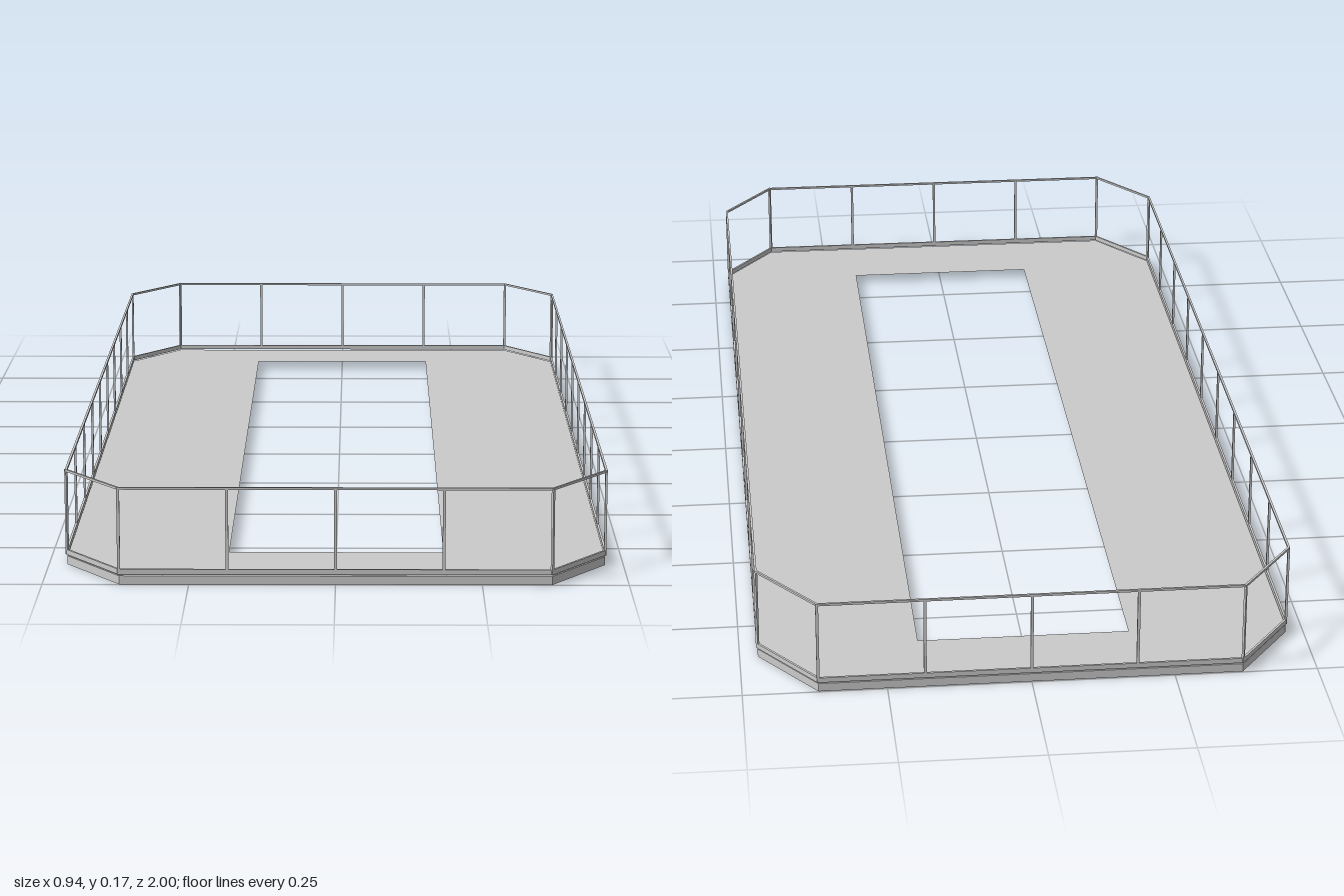
import * as THREE from 'three';

const material = new THREE.MeshStandardMaterial({ color: 0xcccccc, flatShading: true, side: THREE.DoubleSide });

const DECK_Y = 0.016;   // walking surface
const TOE_Y = 0.018;    // bottom of the toe board
const TOE_TOP = 0.027;  // top of the toe board
const RAIL_Y = 0.17;    // top of the handrail
const BAR = 0.004;      // bar thickness

// Octagonal outline with cut corners, as [x, z] points
function outline(inset) {
  const X = 0.47 - inset, Z = 1 - inset, x = 0.37 - inset * 0.5, z = 0.865 - inset * 0.5;
  return [[-x, Z], [x, Z], [X, z], [X, -z], [x, -Z], [-x, -Z], [-X, -z], [-X, z]];
}

// Flat deck plate with a rectangular opening
function deckPlate() {
  const shape = new THREE.Shape(outline(0.002).map(([x, z]) => new THREE.Vector2(x, -z)));
  const hole = [[-0.187, -0.84], [-0.187, 0.862], [0.187, 0.862], [0.187, -0.84]];
  shape.holes.push(new THREE.Path(hole.map(([x, v]) => new THREE.Vector2(x, v))));
  const mesh = new THREE.Mesh(new THREE.ShapeGeometry(shape).rotateX(-Math.PI / 2), material);
  mesh.name = 'deck';
  mesh.position.y = DECK_Y;
  return mesh;
}

// Horizontal bar between two outline points, spanning y0 to y1
function bar(name, [ax, az], [bx, bz], y0, y1) {
  const length = Math.hypot(bx - ax, bz - az);
  const mesh = new THREE.Mesh(new THREE.BoxGeometry(length + BAR / 2, y1 - y0, BAR), material);
  mesh.name = name;
  mesh.position.set((ax + bx) / 2, (y0 + y1) / 2, (az + bz) / 2);
  mesh.rotation.y = -Math.atan2(bz - az, bx - ax);
  return mesh;
}

export function createModel() {
  const model = new THREE.Group();
  model.name = 'railedDeck';
  model.add(deckPlate());

  const edge = outline(0.002);
  const beamEdge = outline(0.004);
  const postGeometry = new THREE.BoxGeometry(0.005, RAIL_Y - TOE_Y, BAR);
  const panels = [4, 1, 9, 1, 4, 1, 9, 1];

  edge.forEach((a, i) => {
    const next = (i + 1) % edge.length;
    const b = edge[next];

    // Edge beam under the deck, toe board and handrail above it
    model.add(bar('edgeBeam', beamEdge[i], beamEdge[next], 0, DECK_Y - 0.001));
    model.add(bar('toeBoard', a, b, TOE_Y, TOE_TOP));
    model.add(bar('handrail', a, b, RAIL_Y - BAR, RAIL_Y));

    // Evenly spaced posts, starting at the corner
    for (let k = 0; k < panels[i]; k++) {
      const t = k / panels[i];
      const post = new THREE.Mesh(postGeometry, material);
      post.name = 'post';
      post.position.set(a[0] + (b[0] - a[0]) * t, (TOE_Y + RAIL_Y) / 2, a[1] + (b[1] - a[1]) * t);
      post.rotation.y = -Math.atan2(b[1] - a[1], b[0] - a[0]);
      model.add(post);
    }
  });
  return model;
}
